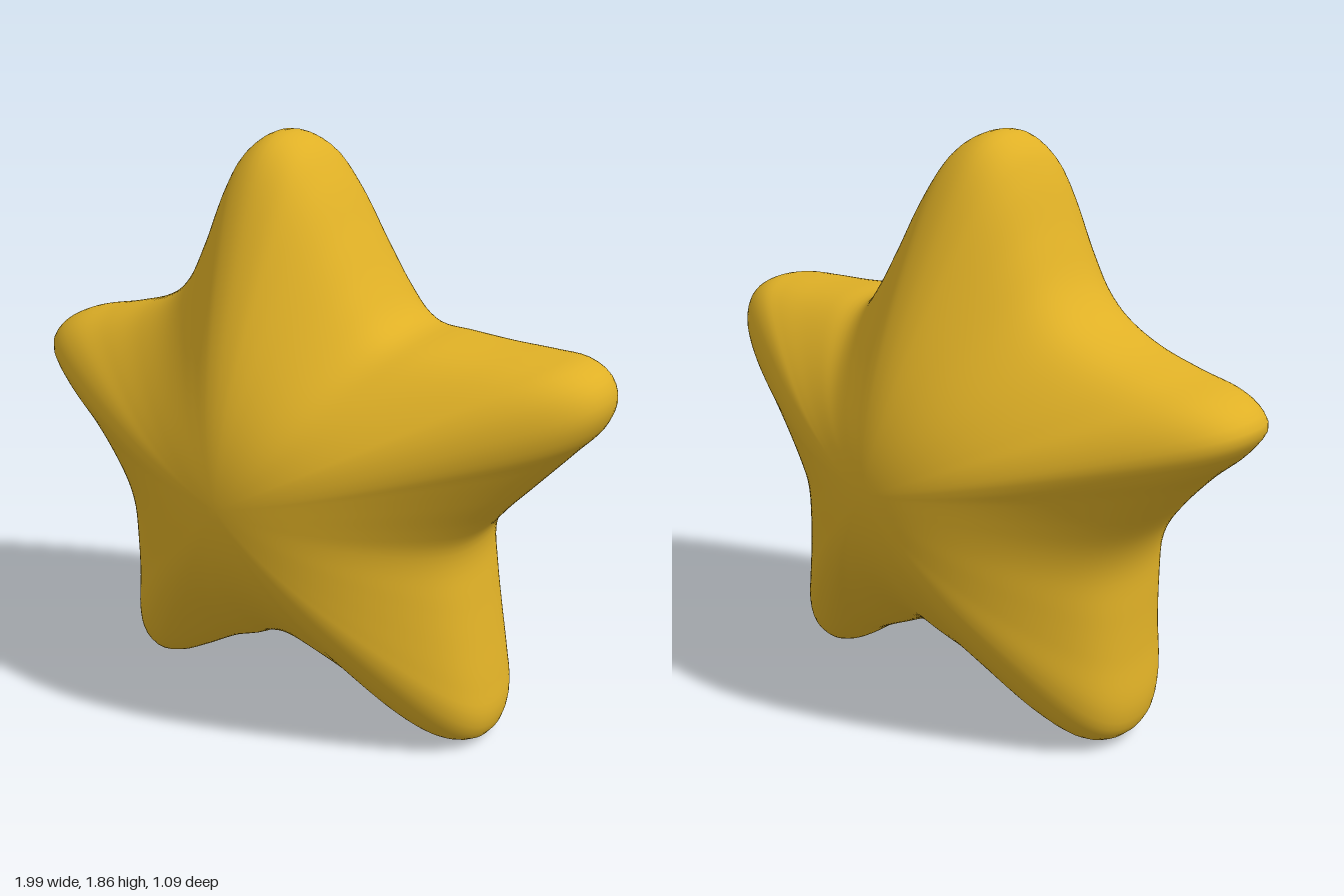
import * as THREE from 'three';

// Star outline, clockwise from the top tip (x, y pairs)
const OUTLINE = [
  // top arm, left-hand side of the body
  -0.1, 1.865, 0, 1.835, 0.08, 1.74, 0.17, 1.58, 0.25, 1.44, 0.32, 1.345, 0.38, 1.31,
  // left arm
  0.5, 1.303, 0.65, 1.295, 0.8, 1.292, 0.9, 1.285, 0.97, 1.245, 0.995, 1.18, 0.97, 1.1,
  0.9, 1.02, 0.78, 0.89, 0.67, 0.77, 0.62, 0.7, 0.608, 0.63,
  // left foot
  0.625, 0.5, 0.65, 0.36, 0.68, 0.2, 0.693, 0.1, 0.67, 0.03, 0.6, 0.002, 0.52, 0.02,
  0.38, 0.11, 0.24, 0.18, 0.12, 0.235, 0.04, 0.25, -0.05, 0.235, -0.12, 0.2,
  // right foot
  -0.22, 0.16, -0.37, 0.075, -0.47, 0.025, -0.56, 0.01, -0.62, 0.05, -0.64, 0.13,
  -0.625, 0.3, -0.618, 0.45, -0.62, 0.6, -0.65, 0.69,
  // right arm
  -0.72, 0.79, -0.84, 0.92, -0.95, 1.02, -1, 1.1, -0.97, 1.15, -0.9, 1.19, -0.75, 1.225,
  -0.58, 1.275, -0.45, 1.345, -0.37, 1.43, -0.3, 1.57, -0.23, 1.74, -0.18, 1.82,
];

const CENTRE_Y = 0.83;
const DEPTH = 0.545;
const CORE = 0.75; // radius of the round core the inner rings blend towards

// Half thickness at a fraction r of the way along an arm
const thickness = (r) => DEPTH * Math.pow(Math.max(0, 1 - r * r), 1.1 - 0.6 * r * r);

function starGeometry(segments = 240, rings = 72) {
  const points = [];
  for (let i = 0; i < OUTLINE.length; i += 2) {
    points.push(new THREE.Vector3(OUTLINE[i], OUTLINE[i + 1] - CENTRE_Y, 0));
  }
  const curve = new THREE.CatmullRomCurve3(points.reverse(), true, 'centripetal');
  const outline = curve.getSpacedPoints(segments).slice(0, segments);

  // Rings run from the front pole over the rim to the back pole
  const positions = [0, CENTRE_Y, DEPTH];
  for (let j = 1; j < rings; j++) {
    const angle = (Math.PI * j) / rings;
    const t = Math.sin(angle);
    const z = Math.sign(rings / 2 - j) * thickness(t * (CORE + (1 - CORE) * t));
    for (const p of outline) {
      const radius = p.length();
      const scale = (t * (CORE + (radius - CORE) * t)) / radius;
      positions.push(p.x * scale, CENTRE_Y + p.y * scale, z);
    }
  }
  const last = positions.length / 3;
  positions.push(0, CENTRE_Y, -DEPTH);

  const index = [];
  const at = (j, i) => 1 + (j - 1) * segments + (i % segments);
  for (let i = 0; i < segments; i++) {
    index.push(0, at(1, i), at(1, i + 1));
    for (let j = 1; j < rings - 1; j++) {
      index.push(at(j, i), at(j + 1, i), at(j + 1, i + 1));
      index.push(at(j, i), at(j + 1, i + 1), at(j, i + 1));
    }
    index.push(at(rings - 1, i), last, at(rings - 1, i + 1));
  }

  const geometry = new THREE.BufferGeometry();
  geometry.setAttribute('position', new THREE.Float32BufferAttribute(positions, 3));
  geometry.setIndex(index);
  geometry.computeVertexNormals();
  return geometry;
}

export function createModel() {
  const gold = new THREE.MeshStandardMaterial({ color: 0xdfb026 });
  gold.name = 'gold';

  const group = new THREE.Group();
  group.name = 'star';
  const body = new THREE.Mesh(starGeometry(), gold);
  body.name = 'starBody';
  group.add(body);
  return group;
}
